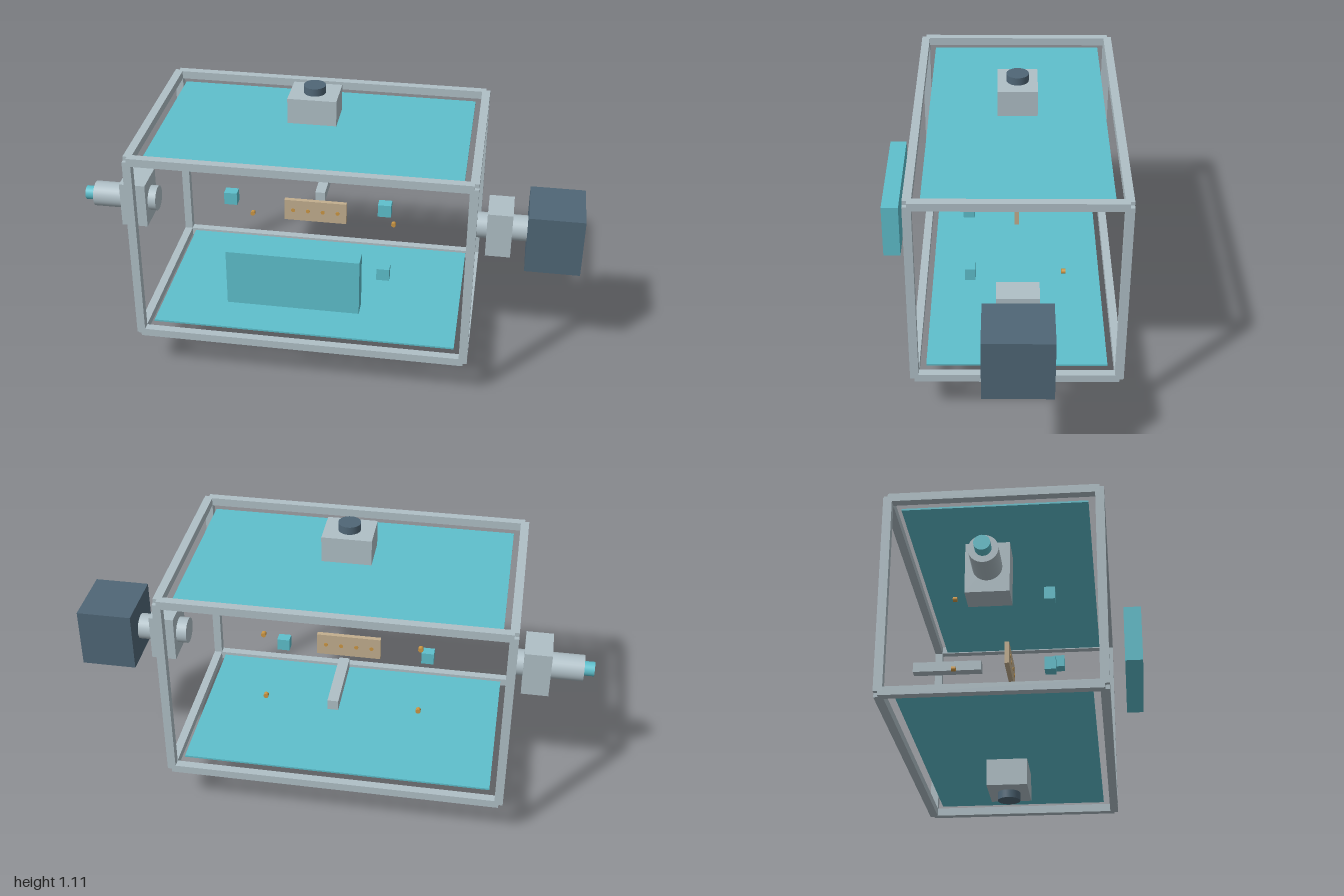
import * as THREE from 'three';

const mat = (name, color) => {
  const m = new THREE.MeshStandardMaterial({ color });
  m.name = name;
  return m;
};

export function createModel() {
  const steel = mat('light steel', 0xafbfc6);
  const slate = mat('dark slate', 0x4f6676);
  const teal = mat('teal', 0x5ebfcc);
  const tan = mat('tan board', 0xc2ae8e);
  const brass = mat('brass', 0xcb9644);

  const root = new THREE.Group();
  root.name = 'chamber';
  const CX = -0.053, CY = 0.558, CZ = -0.059;

  const add = (name, geometry, material, x, y, z) => {
    const mesh = new THREE.Mesh(geometry, material);
    mesh.name = name;
    mesh.position.set(x, y, z);
    root.add(mesh);
    return mesh;
  };
  const box = (name, material, w, h, d, x, y, z) =>
    add(name, new THREE.BoxGeometry(w, h, d), material, x, y, z);
  // Cylinder along a chosen axis
  const rod = (name, material, r, length, axis, x, y, z) => {
    const g = new THREE.CylinderGeometry(r, r, length, 32);
    if (axis === 'x') g.rotateZ(Math.PI / 2);
    if (axis === 'z') g.rotateX(Math.PI / 2);
    return add(name, g, material, x, y, z);
  };

  // Open frame: bars run between edge centres, leaving small corner notches
  const T = 0.032, HX = 0.634, HY = 0.382, HZ = 0.382;
  for (const a of [-1, 1]) {
    for (const b of [-1, 1]) {
      box('frameLongBar', steel, HX * 2, T, T, CX, CY + a * HY, CZ + b * HZ);
      box('framePost', steel, T, HY * 2, T, CX + a * HX, CY, CZ + b * HZ);
      box('frameCrossBar', steel, T, T, HZ * 2, CX + a * HX, CY + b * HY, CZ);
    }
  }

  // Top and bottom panels
  for (const s of [-1, 1])
    box(s > 0 ? 'topPanel' : 'bottomPanel', teal, 1.19, 0.007, 0.68, CX, CY + s * 0.3625, CZ);

  // Housings with round caps above and below the frame
  for (const s of [-1, 1]) {
    box('verticalHousing', steel, 0.186, 0.101, 0.151, CX, CY + s * 0.4755, CZ);
    rod('housingCap', slate, 0.042, 0.031, 'y', CX, CY + s * 0.5405, CZ);
  }

  // Side emitter on the right
  box('emitterBlock', steel, 0.105, 0.187, 0.152, -0.784, CY, CZ);
  rod('emitterBarrel', steel, 0.051, 0.26, 'x', -0.83, CY, CZ);
  rod('emitterTip', teal, 0.028, 0.042, 'x', -0.979, CY, CZ);

  // Side camera on the left
  box('cameraMount', steel, 0.098, 0.187, 0.152, 0.679, CY, CZ);
  rod('cameraBarrel', steel, 0.051, 0.2, 'x', 0.69, CY, CZ);
  box('cameraBody', slate, 0.214, 0.238, 0.248, 0.893, CY, CZ);

  // Front screen
  box('frontScreen', teal, 0.492, 0.221, 0.066, CX, CY, 0.425);

  // Floating cubes in front, small pins behind
  for (const sx of [-1, 1]) {
    for (const sy of [-1, 1]) {
      box('sensorCube', teal, 0.05, 0.05, 0.041, CX + sx * 0.297, CY + sy * 0.1445, 0.12);
      rod('rearPin', brass, 0.0095, 0.016, 'z', CX + sx * 0.297, CY + sy * 0.1445, -0.238);
    }
  }

  // Sample board with studs, and its support arm
  box('sampleBoard', tan, 0.25, 0.09, 0.018, CX, CY, CZ);
  for (let i = 0; i < 4; i++)
    rod('boardStud', brass, 0.008, 0.022, 'z', CX + (i - 1.5) * 0.06, CY, CZ);
  box('supportArm', steel, 0.04, 0.04, 0.27, CX, CY, -0.305);

  return root;
}
